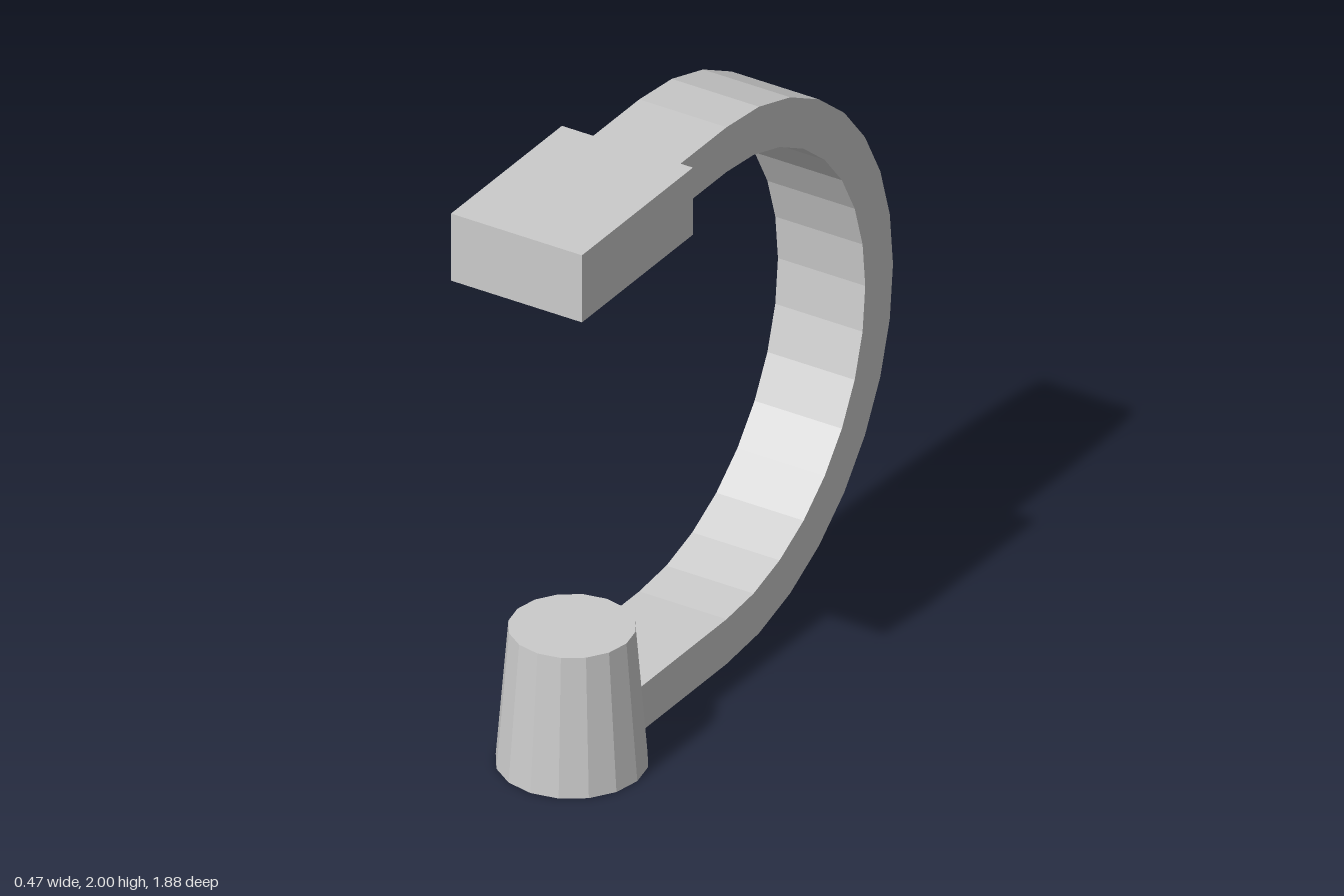
import * as THREE from 'three';

export function createModel() {
  const group = new THREE.Group();
  const material = new THREE.MeshStandardMaterial({ color: 0xcccccc, flatShading: true });
  const add = (name, geometry, x, y, z) => {
    const mesh = new THREE.Mesh(geometry, material);
    mesh.name = name;
    mesh.position.set(x, y, z);
    group.add(mesh);
  };

  // C-shaped arm: half ring with two straight ends, drawn in the z-y plane
  const outer = 0.942, inner = 0.785, width = 0.314;
  const topEnd = 0.314, bottomEnd = 0.628;
  const profile = new THREE.Shape();
  profile.moveTo(topEnd, outer);
  profile.lineTo(0, outer);
  profile.absarc(0, 0, outer, Math.PI / 2, Math.PI * 1.5, false);
  profile.lineTo(bottomEnd, -outer);
  profile.lineTo(bottomEnd, -inner);
  profile.lineTo(0, -inner);
  profile.absarc(0, 0, inner, Math.PI * 1.5, Math.PI / 2, true);
  profile.lineTo(topEnd, inner);
  profile.closePath();
  const arm = new THREE.ExtrudeGeometry(profile, { depth: width, bevelEnabled: false, curveSegments: 8 });
  arm.translate(0, 0, -width / 2);
  arm.rotateY(-Math.PI / 2); // profile x becomes +z
  add('arm', arm, 0, 1.021, 0);

  // Tapered emitter on the lower end
  add('emitter', new THREE.CylinderGeometry(0.196, 0.235, 0.471, 16), 0, 0.2355, 0.628);

  // Rectangular detector on the upper end
  add('detector', new THREE.BoxGeometry(0.471, 0.2355, 0.628), 0, 1.882, 0.628);

  return group;
}
